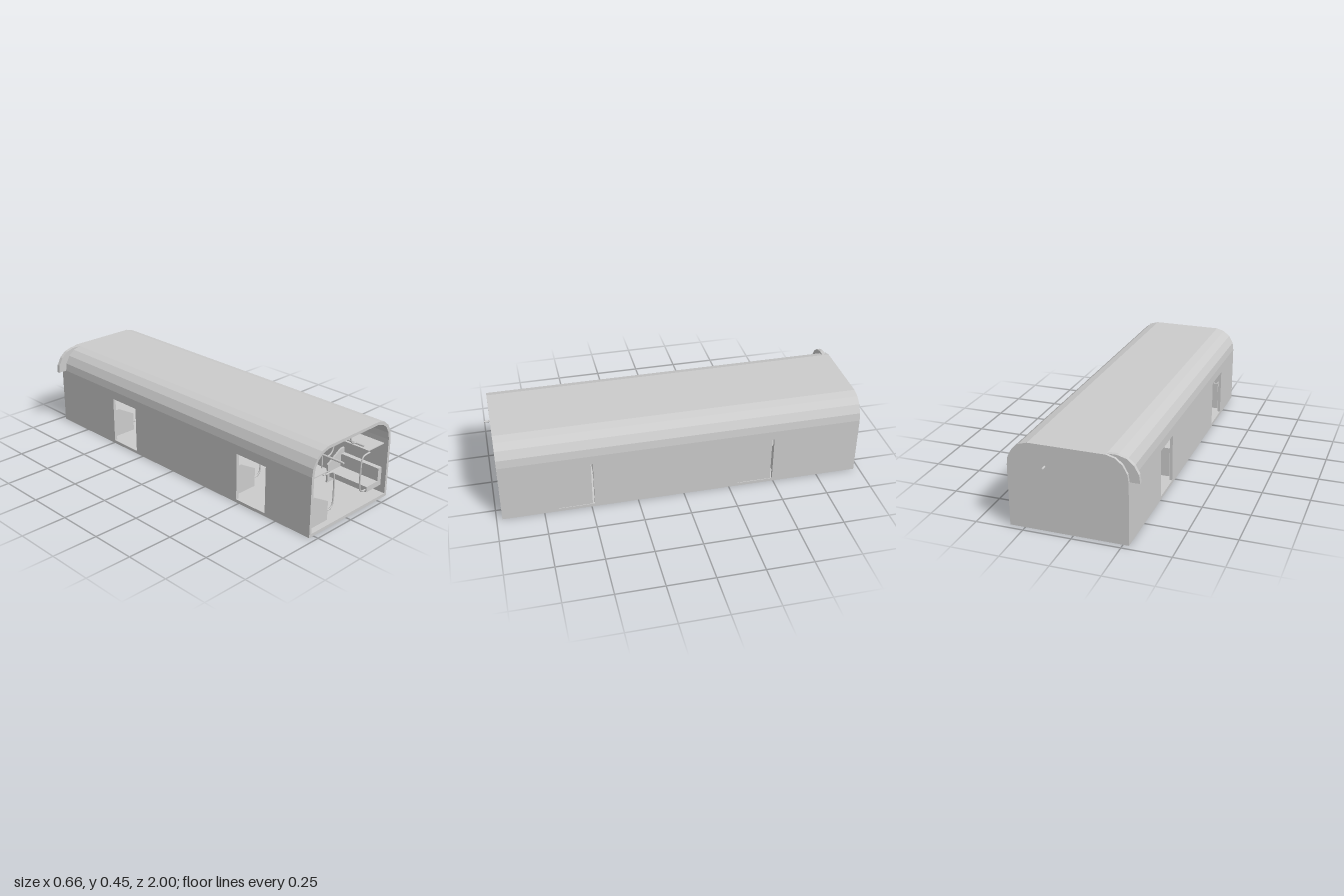
import * as THREE from 'three';

const MID = 0.025;                 // centre line of the carriage body
const L = 0.97, WALL = 0.016, HALF = 0.305, SHOULDER = 0.324;
const DOORS = [[0.483, 0.68], [-0.494, -0.30]];
const DOOR_Y = [0.017, 0.275];
const mat = new THREE.MeshStandardMaterial({ color: 0xcccccc, side: THREE.DoubleSide });

function add(parent, name, geo, x = 0, y = 0, z = 0) {
  const m = new THREE.Mesh(geo, mat);
  m.name = name;
  m.position.set(x, y, z);
  parent.add(m);
  return m;
}

// Box given by its limits on each axis
function box(parent, name, [x0, x1], [y0, y1], [z0, z1]) {
  return add(parent, name, new THREE.BoxGeometry(x1 - x0, y1 - y0, z1 - z0),
    (x0 + x1) / 2, (y0 + y1) / 2, (z0 + z1) / 2);
}

// Polygon in x and y, extruded from z0 to z1
function prism(parent, name, pts, z0, z1) {
  const shape = new THREE.Shape(pts.map(p => new THREE.Vector2(...p)));
  const geo = new THREE.ExtrudeGeometry(shape, { depth: z1 - z0, bevelEnabled: false });
  return add(parent, name, geo, 0, 0, z0);
}

function tube(parent, name, pts, r) {
  const curve = new THREE.CatmullRomCurve3(pts.map(p => new THREE.Vector3(...p)), false, 'centripetal');
  const bar = add(parent, name, new THREE.TubeGeometry(curve, 40, r, 8), 0, 0, 0);
  for (const t of [0, 1]) {
    const p = curve.getPoint(t);
    add(bar, name + 'End', new THREE.SphereGeometry(r, 8, 6), p.x, p.y, p.z);
  }
  return bar;
}

function rail(parent, name, x, y, z0, z1, r) {
  const geo = new THREE.CylinderGeometry(r, r, z1 - z0, 10).rotateX(Math.PI / 2);
  add(parent, name, geo, x, y, (z0 + z1) / 2);
}

// Faceted roof line, from the right shoulder over to the left one
const arcHalf = [[0.305, 0.324], [0.299, 0.367], [0.275, 0.41], [0.24, 0.439], [0.195, 0.452]];
const innerHalf = [[0.289, 0.324], [0.283, 0.363], [0.262, 0.4], [0.232, 0.424], [0.192, 0.436]];
const across = half => [...half, ...half.map(([x, y]) => [-x, y]).reverse()];

function shell(body) {
  prism(body, 'roof', [...across(arcHalf), ...across(innerHalf).reverse()], -L, L);
  box(body, 'floor', [-HALF, HALF], [0, 0.017], [-L, L]);
  prism(body, 'backWall', [[-HALF, 0], [HALF, 0], ...across(arcHalf)], -L, -L + WALL);
}

// Side wall with two doorways
function sideWall(side) {
  const s = new THREE.Shape();
  s.moveTo(-L, 0).lineTo(L, 0).lineTo(L, SHOULDER).lineTo(-L, SHOULDER).closePath();
  for (const [a, b] of DOORS) {
    const h = new THREE.Path();
    h.moveTo(a, DOOR_Y[0]).lineTo(a, DOOR_Y[1]).lineTo(b, DOOR_Y[1]).lineTo(b, DOOR_Y[0]).closePath();
    s.holes.push(h);
  }
  const geo = new THREE.ExtrudeGeometry(s, { depth: WALL, bevelEnabled: false }).rotateY(-Math.PI / 2);
  add(side, 'sideWall', geo, HALF, 0, 0);
}

// Sloped screen at a bench end, with its bent grab bar
const screenPts = [[0.15, 0.03], [0.282, 0.03], [0.282, 0.192], [0.255, 0.192], [0.15, 0.133]];
function screen(side, z) {
  prism(side, 'benchScreen', screenPts, z - 0.005, z + 0.005);
}
function grabBar(side, z) {
  tube(side, 'grabBar', [
    [0.152, 0.08, z], [0.128, 0.081, z], [0.111, 0.093, z], [0.105, 0.12, z], [0.104, 0.17, z],
    [0.105, 0.23, z], [0.110, 0.262, z], [0.121, 0.278, z], [0.140, 0.283, z], [0.169, 0.284, z],
  ], 0.0045);
}

const benchPts = [[0.165, 0.06], [0.284, 0.06], [0.284, 0.162], [0.256, 0.162], [0.256, 0.09], [0.165, 0.09]];
function bench(side, z0, z1, frontScreen) {
  prism(side, 'bench', benchPts, z0, z1);
  box(side, 'luggageRack', [0.158, 0.287], [0.293, 0.298], [z0, z1]);
  screen(side, z0);
  if (frontScreen) screen(side, z1);
  grabBar(side, z0);
  grabBar(side, z1);
}

// Ceiling rail on curved brackets
function ceilingRail(body, s, z0, z1) {
  const x = s * 0.11, top = s * 0.067;
  rail(body, 'ceilingRail', x, 0.342, z0, z1, 0.0055);
  for (let i = 0; i < 6; i++) {
    const z = -0.9 + i * 0.36;
    tube(body, 'railBracket', [
      [top, 0.438, z], [top, 0.405, z], [top, 0.38, z], [s * 0.075, 0.358, z], [s * 0.09, 0.346, z], [x, 0.342, z],
    ], 0.004);
  }
}

// Hanging strap with a small triangular grip
function strap(body, x, z) {
  const g = new THREE.Group();
  g.name = 'hangingStrap';
  g.position.set(x, 0, z);
  body.add(g);
  box(g, 'strapCord', [-0.001, 0.001], [0.283, 0.342], [-0.002, 0.002]);
  const grip = add(g, 'strapGrip', new THREE.TorusGeometry(0.012, 0.0025, 6, 3), 0.003, 0.274, 0);
  grip.rotation.set(0, 0.6, Math.PI / 2);
}

export function createModel() {
  const model = new THREE.Group();
  model.name = 'carriage';
  const body = new THREE.Group();
  body.name = 'carriageBody';
  body.position.x = MID;
  model.add(body);
  shell(body);

  for (const s of [1, -1]) {
    const side = new THREE.Group();
    side.name = s > 0 ? 'leftSide' : 'rightSide';
    side.scale.x = s;
    body.add(side);
    sideWall(side);
    bench(side, 0.70, 0.945, s < 0);
    bench(side, -0.28, 0.46, true);
    bench(side, s > 0 ? -0.94 : -0.80, -0.515, true);
    // Sliding doors, nearly shut, on one side only
    if (s > 0) for (const [a, b] of DOORS) {
      box(side, 'slidingDoor', [HALF - 0.013, HALF - 0.002], [0.018, 0.274], [a + 0.011, b]);
    }
  }

  ceilingRail(body, -1, -0.95, 1);
  ceilingRail(body, 1, -1, 0.95);
  for (let i = 0; i < 6; i++) strap(body, -0.11, -0.75 + i * 0.3);

  // Machine on a base in the rear corner
  box(body, 'machineBase', [-0.289, -0.175], [0.017, 0.09], [-0.92, -0.84]);
  box(body, 'machineCabinet', [-0.255, -0.14], [0.09, 0.255], [-0.93, -0.83]);
  box(body, 'machinePanel', [-0.14, -0.133], [0.115, 0.22], [-0.915, -0.845]);

  // Rounded plate standing out past the rear shoulder
  prism(body, 'shoulderPlate', [
    [-0.05, 0.324], [-0.05, 0.45], ...arcHalf.map(([x, y]) => [-x - 0.05, y - 0.0005]).reverse(),
  ], -0.955, -0.935);
  return model;
}
